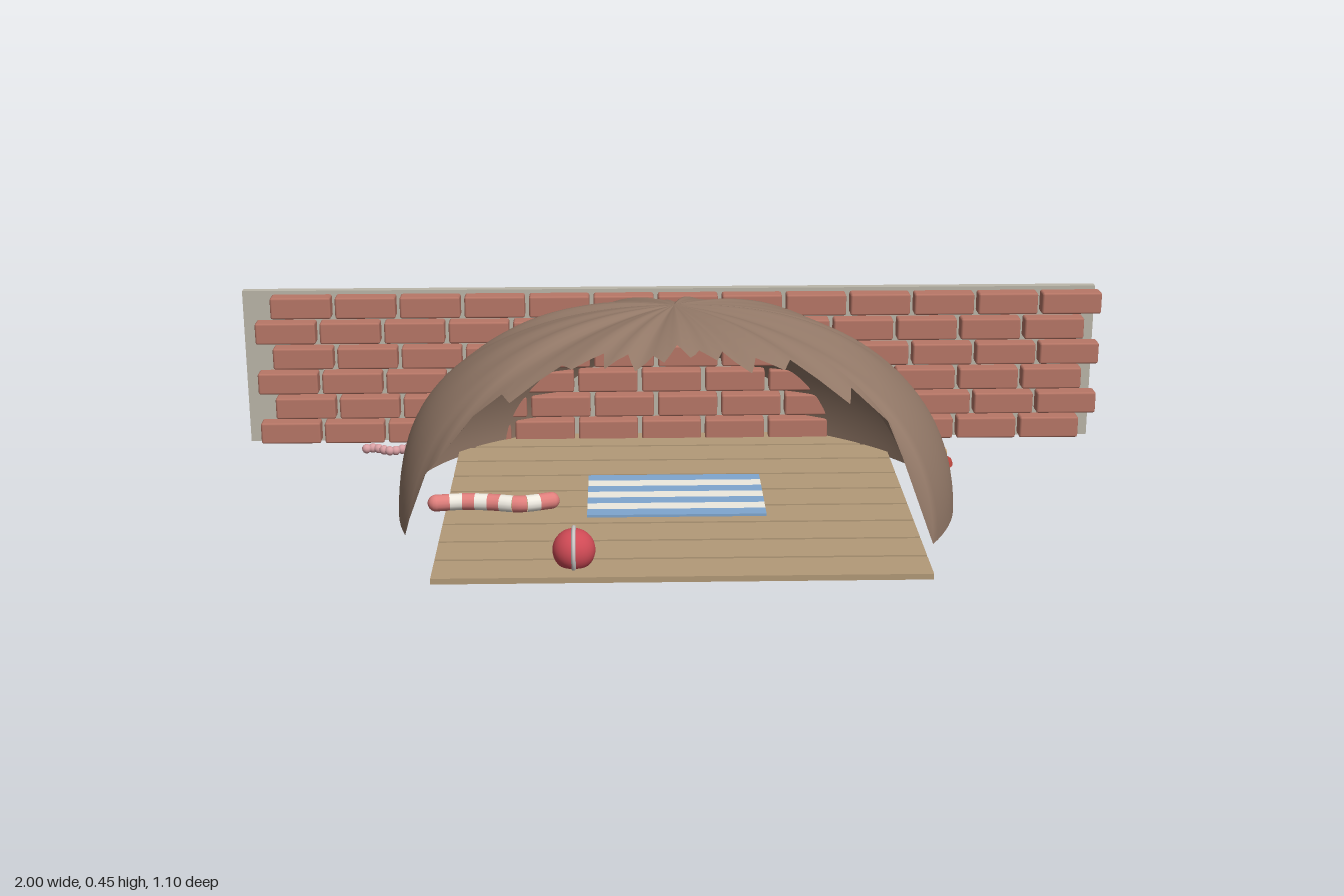
import * as THREE from 'three';
import { RoundedBoxGeometry } from 'three/addons/geometries/RoundedBoxGeometry.js';

const mat = (color, side = THREE.FrontSide) => {
  const m = new THREE.MeshStandardMaterial({ color });
  m.side = side;
  return m;
};
const GROUND = 0.012;

function add(parent, name, geometry, material, x = 0, y = 0, z = 0) {
  const mesh = new THREE.Mesh(geometry, material);
  mesh.name = name;
  mesh.position.set(x, y, z);
  parent.add(mesh);
  return mesh;
}

function group(parent, name, x = 0, y = 0, z = 0) {
  const g = new THREE.Group();
  g.name = name;
  g.position.set(x, y, z);
  parent.add(g);
  return g;
}

function seeded(seed) {
  return () => {
    seed = (seed * 16807) % 2147483647;
    return seed / 2147483647;
  };
}

// Wrinkled half-open dome with a torn front rim
function domeGeometry() {
  const cols = 128, rows = 32, zc = 0.08;
  const rand = seeded(77);
  const teeth = Array.from({ length: cols / 2 }, (_, k) => (k % 2 ? 0.6 : -0.6) + (rand() - 0.5) * 0.9);
  const at = (phi, j, t) => {
    const s = Math.sin(phi), c = Math.cos(phi);
    const depth = c > 0 ? 0.6 : 0.5;
    const n = 2.2 - (c > 0 ? 0.2 : 0.4) * c * c;
    const k = Math.floor(j / 2);
    const tooth = (teeth[k] + teeth[(k + (j % 2)) % teeth.length]) / 2;
    const reach = c > 0 ? (0.252 + 0.03 * tooth) / (depth * c) : 2;
    const theta = t * (reach < 1 ? Math.asin(Math.pow(reach, n / 2)) : Math.PI / 2);
    const r = Math.pow(Math.sin(theta), 2 / n);
    const h = Math.pow(Math.max(0, Math.cos(theta)), 2 / n);
    const fold = Math.sin(9 * phi + 1) + 0.7 * Math.sin(17 * phi + 2.3) + 0.5 * Math.sin(26 * phi);
    const crease = 0.0045 * fold * Math.sin(Math.min(1, theta / 0.9) * Math.PI);
    const bump = 1 + 0.008 * Math.sin(5 * phi + 4 * theta) * Math.sin(theta);
    return [-0.01 + 0.6 * r * s * bump, GROUND + 0.438 * h + crease, zc + depth * r * c * bump];
  };
  const pos = [...at(0, 0, 0)], index = [];
  const id = (i, j) => (i === 0 ? 0 : 1 + (i - 1) * cols + (j % cols));
  for (let i = 1; i <= rows; i++)
    for (let j = 0; j < cols; j++) pos.push(...at((j / cols) * Math.PI * 2, j, i / rows));
  for (let i = 0; i < rows; i++)
    for (let j = 0; j < cols; j++) {
      if (i > 0) index.push(id(i, j), id(i + 1, j), id(i, j + 1));
      index.push(id(i, j + 1), id(i + 1, j), id(i + 1, j + 1));
    }
  const g = new THREE.BufferGeometry();
  g.setAttribute('position', new THREE.Float32BufferAttribute(pos, 3));
  g.setIndex(index);
  g.computeVertexNormals();
  return g;
}

export function createModel() {
  const root = new THREE.Group();
  root.name = 'denWithBrickWall';

  // Plank floor
  const floor = group(root, 'plankFloor');
  const plank = new THREE.BoxGeometry(0.99, 0.012, 0.092);
  const wood = mat(0xb39a78);
  for (let i = 0; i < 9; i++) add(floor, 'plank', plank, wood, -0.005, GROUND + 0.006, 0.503 - i * 0.1);

  // Backing panel and staggered bricks
  const wall = group(root, 'brickWall');
  add(wall, 'wallPanel', new THREE.BoxGeometry(1.985, 0.366, 0.021), mat(0xbbb6a9), -0.0075, 0.195, -0.3515);
  const brick = new RoundedBoxGeometry(0.139, 0.051, 0.041, 1, 0.005);
  const clay = mat(0xb87767);
  for (let row = 0; row < 6; row++)
    for (let i = 0; i < 13; i++)
      add(wall, 'brick', brick, clay, (row % 2 ? -0.932 : -0.97) + 0.0695 + i * 0.149, 0.042 + row * 0.0605, -0.3235);

  add(root, 'domeShell', domeGeometry(), mat(0x927867, THREE.DoubleSide));

  // Striped mat
  const rug = group(root, 'stripedMat', -0.008, GROUND + 0.0145, 0.095);
  const blue = mat(0x7fa6cf), white = mat(0xeeeae0);
  for (let i = 0; i < 7; i++)
    add(rug, 'matStripe', new THREE.BoxGeometry(0.38, 0.006, 0.0358), i % 2 ? white : blue, 0, 0, (i - 3) * 0.0358);

  // Striped draught roll, cut into coloured bands
  const roll = group(root, 'stripedRoll');
  const path = new THREE.CatmullRomCurve3([[-0.52, 0.172], [-0.46, 0.164], [-0.4, 0.17], [-0.34, 0.182], [-0.275, 0.162]]
    .map(([x, z]) => new THREE.Vector3(x, 0.042, z)));
  const pink = mat(0xe07f7c);
  for (let i = 0; i < 9; i++) {
    const part = new THREE.CatmullRomCurve3([0, 1, 2, 3].map(k => path.getPointAt((i + k / 3) / 9)));
    add(roll, 'rollBand', new THREE.TubeGeometry(part, 4, 0.018, 14), i % 2 ? white : pink);
  }
  for (const u of [0, 1]) add(roll, 'rollEnd', new THREE.SphereGeometry(0.018, 14, 10), pink, ...path.getPointAt(u).toArray());

  // Ball with a hoop around it
  const ball = group(root, 'ball', -0.22, 0.053, 0.474);
  add(ball, 'ballBody', new THREE.SphereGeometry(0.043, 28, 20), mat(0xcf4a55));
  add(ball, 'ballHoop', new THREE.TorusGeometry(0.0445, 0.0045, 8, 36), mat(0xc9c6c4)).rotation.y = Math.PI / 2;

  // Bead worm
  const worm = group(root, 'beadWorm');
  const bead = new THREE.SphereGeometry(0.011, 12, 8), rose = mat(0xd9a0a4);
  for (let i = 0; i < 10; i++)
    add(worm, 'bead', bead, rose, -0.717 + i * 0.0138, GROUND + 0.011, -0.24 - 0.011 * Math.sin(i * 0.95 + 0.6));

  // Domed cushion on a red disc
  const cushion = group(root, 'cushion', 0.585, GROUND, -0.14);
  add(cushion, 'cushionBase', new THREE.CylinderGeometry(0.046, 0.049, 0.01, 28), mat(0xc0483f), 0, 0.005, 0);
  add(cushion, 'cushionTop', new THREE.SphereGeometry(0.035, 24, 16), mat(0xd8b078), 0, 0.028, 0).scale.y = 0.58;
  add(cushion, 'cushionButton', new THREE.SphereGeometry(0.005, 10, 8), mat(0xa87a48), 0, 0.048, 0);

  // Desk lamp
  const lamp = group(root, 'lamp', -0.595, GROUND, -0.482);
  const green = mat(0x5f9a85);
  add(lamp, 'lampBase', new THREE.CylinderGeometry(0.025, 0.027, 0.01, 24), green, 0, 0.005, 0);
  add(lamp, 'lampStem', new THREE.CylinderGeometry(0.004, 0.004, 0.1, 10), green, 0, 0.058, 0);
  add(lamp, 'lampShade', new THREE.CylinderGeometry(0.008, 0.031, 0.036, 24, 1, true),
    mat(0x5f9a85, THREE.DoubleSide), -0.008, 0.111, 0.016).rotation.x = 0.43;
  add(lamp, 'lampBulb', new THREE.SphereGeometry(0.011, 12, 8), green, -0.008, 0.113, 0.017);

  // Cup with handle
  const cup = group(root, 'cup', 0.345, GROUND, -0.455);
  const cupBlue = mat(0x7c9fcc, THREE.DoubleSide);
  const profile = [[0, 0], [0.019, 0], [0.022, 0.028], [0.019, 0.028], [0.017, 0.004], [0, 0.004]];
  add(cup, 'cupBody', new THREE.LatheGeometry(profile.map(([x, y]) => new THREE.Vector2(x, y)), 24), cupBlue);
  add(cup, 'cupHandle', new THREE.TorusGeometry(0.009, 0.003, 8, 18), cupBlue, 0.024, 0.014, 0);

  // Potted flower
  const plant = group(root, 'pottedFlower', 0.7, GROUND, -0.524);
  add(plant, 'pot', new THREE.CylinderGeometry(0.019, 0.023, 0.04, 20), mat(0xbdbdbd), 0, 0.02, 0);
  add(plant, 'stem', new THREE.CylinderGeometry(0.003, 0.003, 0.085, 8), mat(0x7d9a55), 0, 0.0805, 0);
  const petal = new THREE.SphereGeometry(0.011, 12, 8);
  for (let i = 0; i < 6; i++) {
    const a = (i * Math.PI) / 3;
    add(plant, 'petal', petal, rose, 0.02 * Math.sin(a), 0.123, 0.02 * Math.cos(a)).scale.y = 0.35;
  }
  add(plant, 'flowerCentre', new THREE.SphereGeometry(0.009, 12, 8), mat(0xdcbc60), 0, 0.125, 0).scale.y = 0.7;

  return root;
}
